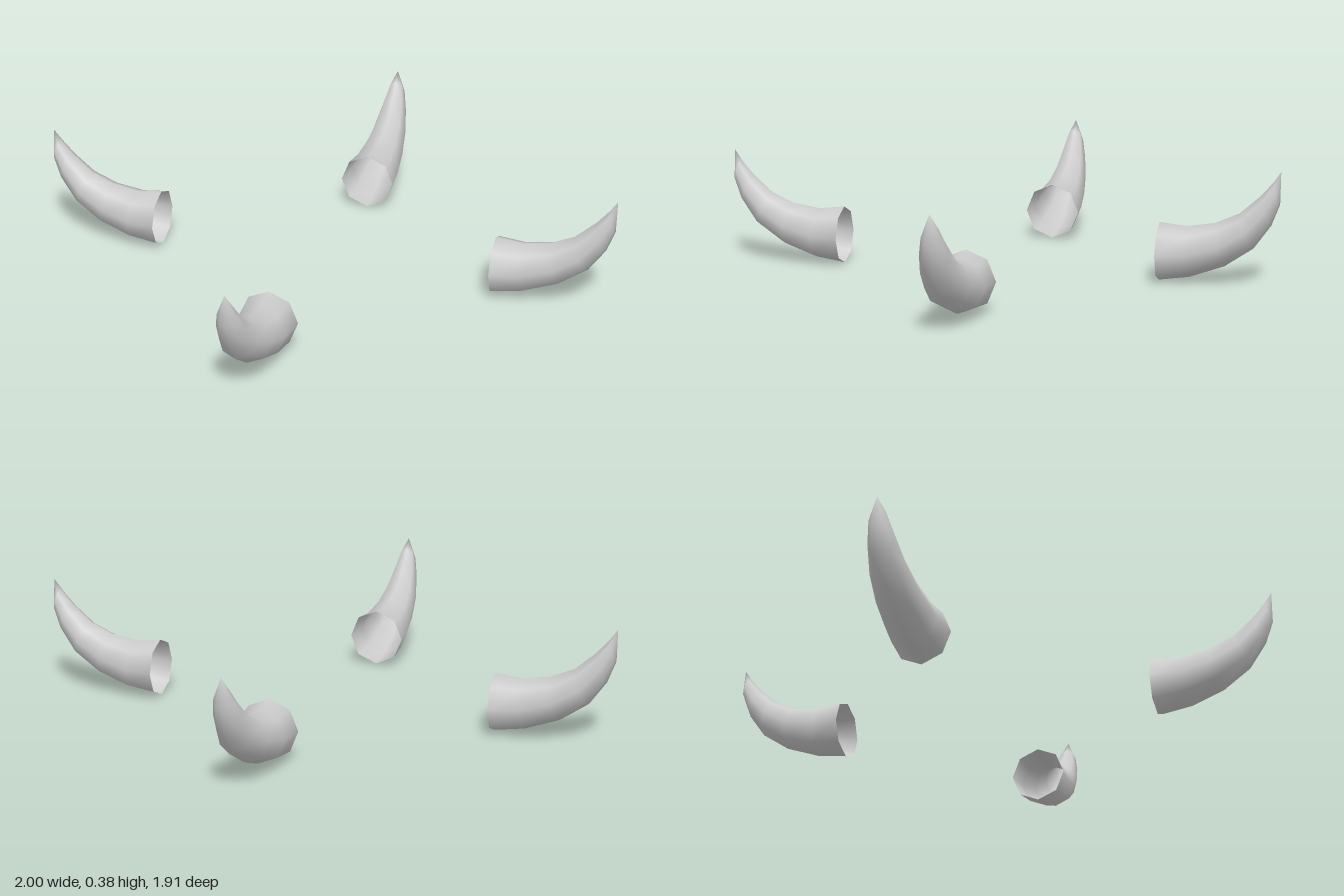
import * as THREE from 'three';

// Cross-sections along the horn: outer (lower) point, inner (upper) point, half width
const RINGS = [
  [0.6, 0.002, 0.6, 0.2, 0.097],
  [0.705, 0.018, 0.69, 0.19, 0.088],
  [0.82, 0.06, 0.785, 0.205, 0.076],
  [0.915, 0.125, 0.865, 0.24, 0.063],
  [0.972, 0.205, 0.933, 0.3, 0.047],
  [0.999, 0.277, 0.975, 0.348, 0.031],
];
const TIP = [1, 0.385, 0];
const SIDES = 8;

// Curved tapering horn pointing along +x, open at its base
function hornGeometry() {
  const positions = [];
  const index = [];
  for (const [ox, oy, ix, iy, w] of RINGS) {
    for (let s = 0; s < SIDES; s++) {
      const a = (s / SIDES) * Math.PI * 2;
      const t = (1 + Math.cos(a)) / 2;
      positions.push(ox + (ix - ox) * t, oy + (iy - oy) * t, w * Math.sin(a));
    }
  }
  const tip = RINGS.length * SIDES;
  positions.push(...TIP);
  for (let r = 0; r < RINGS.length; r++) {
    for (let s = 0; s < SIDES; s++) {
      const a = r * SIDES + s;
      const b = r * SIDES + ((s + 1) % SIDES);
      if (r === RINGS.length - 1) index.push(a, tip, b);
      else index.push(a, a + SIDES, b, b, a + SIDES, b + SIDES);
    }
  }
  const geometry = new THREE.BufferGeometry();
  geometry.setAttribute('position', new THREE.Float32BufferAttribute(positions, 3));
  geometry.setIndex(index);
  geometry.computeVertexNormals();
  return geometry;
}

export function createModel() {
  const model = new THREE.Group();
  model.name = 'horns';
  const hornGrey = new THREE.MeshStandardMaterial({ color: 0xcccccc, side: THREE.DoubleSide });
  hornGrey.name = 'hornGrey';
  const geometry = hornGeometry();

  // Four horns facing outward: name, turn about y, offset x, offset z
  const placements = [
    ['leftHorn', 0, 0, -0.048],
    ['rightHorn', Math.PI, 0, -0.048],
    ['frontHorn', -Math.PI / 2, 0.004, -0.046],
    ['backHorn', Math.PI / 2, 0.004, 0.046],
  ];
  for (const [name, turn, x, z] of placements) {
    const horn = new THREE.Mesh(geometry, hornGrey);
    horn.name = name;
    horn.rotation.y = turn;
    horn.position.set(x, 0, z);
    model.add(horn);
  }
  return model;
}
